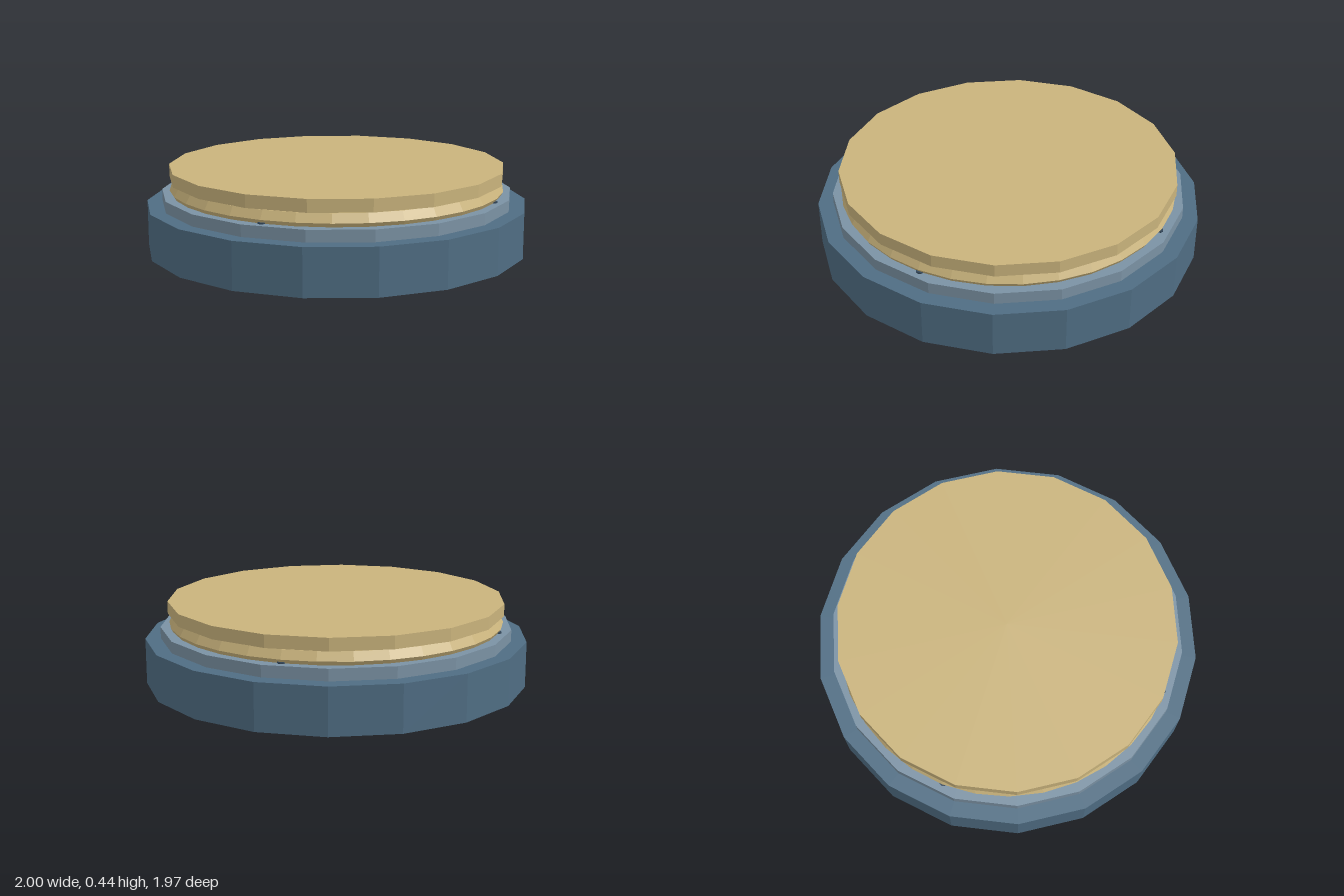
import * as THREE from 'three';

const SIDES = 18;

export function createModel() {
  const flat = (name, color) => {
    const m = new THREE.MeshStandardMaterial({ color, flatShading: true });
    m.name = name;
    return m;
  };
  const slate = flat('slate blue', 0x4f6d83);
  const paleBlue = flat('pale blue grey', 0x7b92a4);
  const brass = flat('brass', 0xc9b37c);
  const dark = flat('dark blue', 0x33475a);

  const model = new THREE.Group();
  model.name = 'liddedDisc';

  // Upright faceted drum with corners on the x axis
  const drum = (name, material, radius, bottom, top, sides = SIDES) => {
    const geometry = new THREE.CylinderGeometry(radius, radius, top - bottom, sides);
    geometry.rotateY(Math.PI / 2);
    geometry.translate(0, (bottom + top) / 2, 0);
    const mesh = new THREE.Mesh(geometry, material);
    mesh.name = name;
    model.add(mesh);
    return mesh;
  };

  drum('base', slate, 1, 0, 0.24);
  drum('collar', paleBlue, 0.92, 0.24, 0.3);
  drum('lid', brass, 0.88, 0.37, 0.435);

  // Six-sided ring sunk into the collar, under the lid
  const ring = new THREE.Mesh(
    new THREE.TorusGeometry(0.825, 0.05, 6, 32).rotateX(Math.PI / 2), brass);
  ring.name = 'ring';
  ring.position.y = 0.32;
  model.add(ring);

  // Four small studs just showing above the collar
  for (let i = 0; i < 4; i++) {
    const a = Math.PI / 4 + i * Math.PI / 2;
    const stud = drum('stud', dark, 0.02, 0.28, 0.307, 8);
    stud.position.set(0.86 * Math.cos(a), 0, 0.86 * Math.sin(a));
  }

  return model;
}
